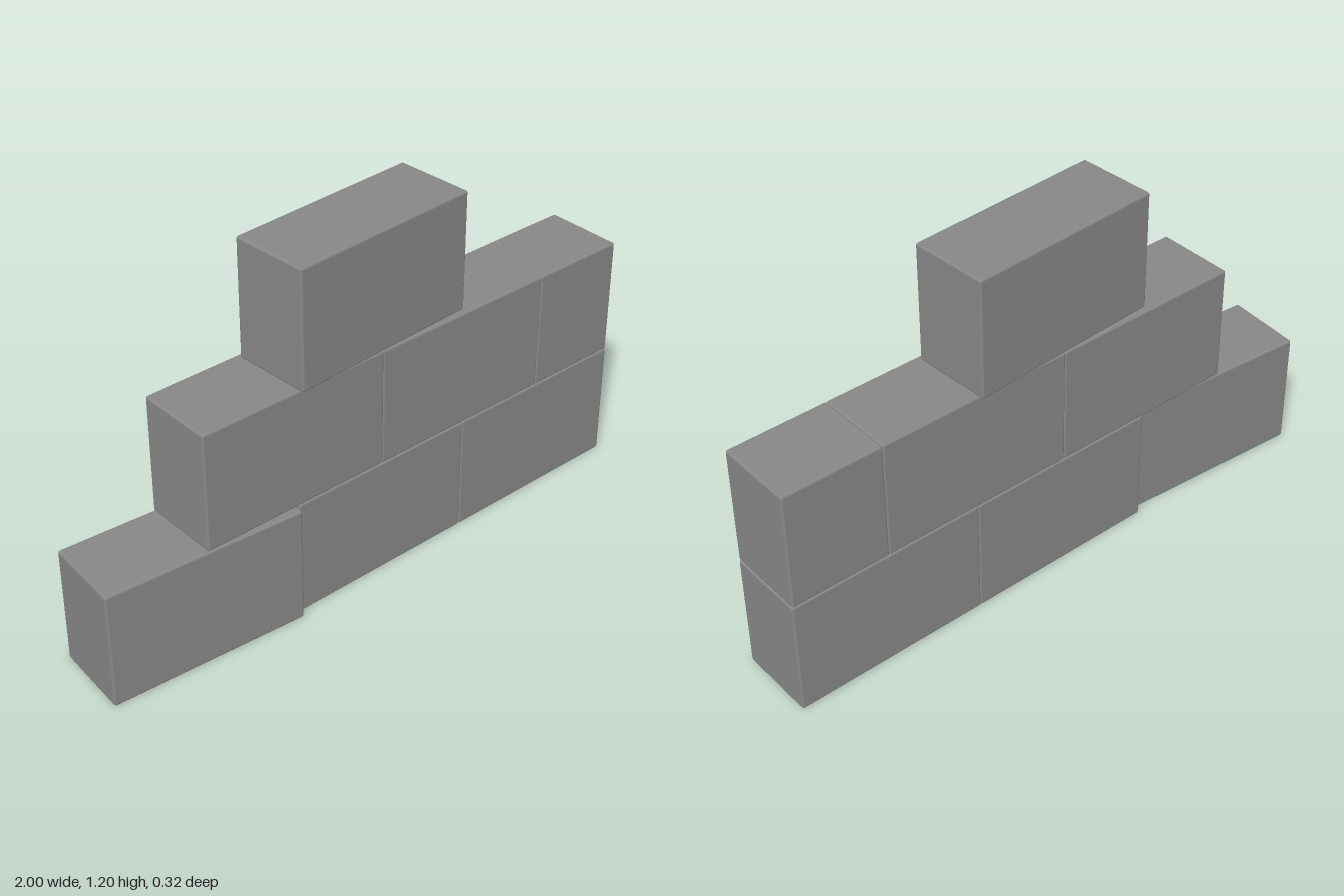
import * as THREE from 'three';
import { RoundedBoxGeometry } from 'three/addons/geometries/RoundedBoxGeometry.js';

const LENGTH = 0.665, HEIGHT = 0.4, DEPTH = 0.267, BEVEL = 0.008;

export function createModel() {
  const wall = new THREE.Group();
  wall.name = 'brickWall';
  const material = new THREE.MeshStandardMaterial({ color: 0x878787 });
  const fullBrick = new RoundedBoxGeometry(LENGTH, HEIGHT, DEPTH, 2, BEVEL);
  const halfBrick = new RoundedBoxGeometry(0.336, HEIGHT, DEPTH, 2, BEVEL);

  // Each brick: name, geometry, centre x, course from the ground, turn about y
  const bricks = [
    ['bottomRightBrick', fullBrick, -0.66, 0, -0.078],
    ['bottomMiddleBrick', fullBrick, 0.003, 0, 0],
    ['bottomLeftBrick', fullBrick, 0.666, 0, 0],
    ['middleRightBrick', fullBrick, -0.332, 1, 0],
    ['middleLeftBrick', fullBrick, 0.33, 1, 0],
    ['middleHalfBrick', halfBrick, 0.829, 1, 0],
    ['topBrick', fullBrick, 0.001, 2, 0.057],
  ];
  for (const [name, geometry, x, course, turn] of bricks) {
    const brick = new THREE.Mesh(geometry, material);
    brick.name = name;
    brick.position.set(x, HEIGHT * (course + 0.5), 0);
    brick.rotation.y = turn;
    wall.add(brick);
  }
  return wall;
}
